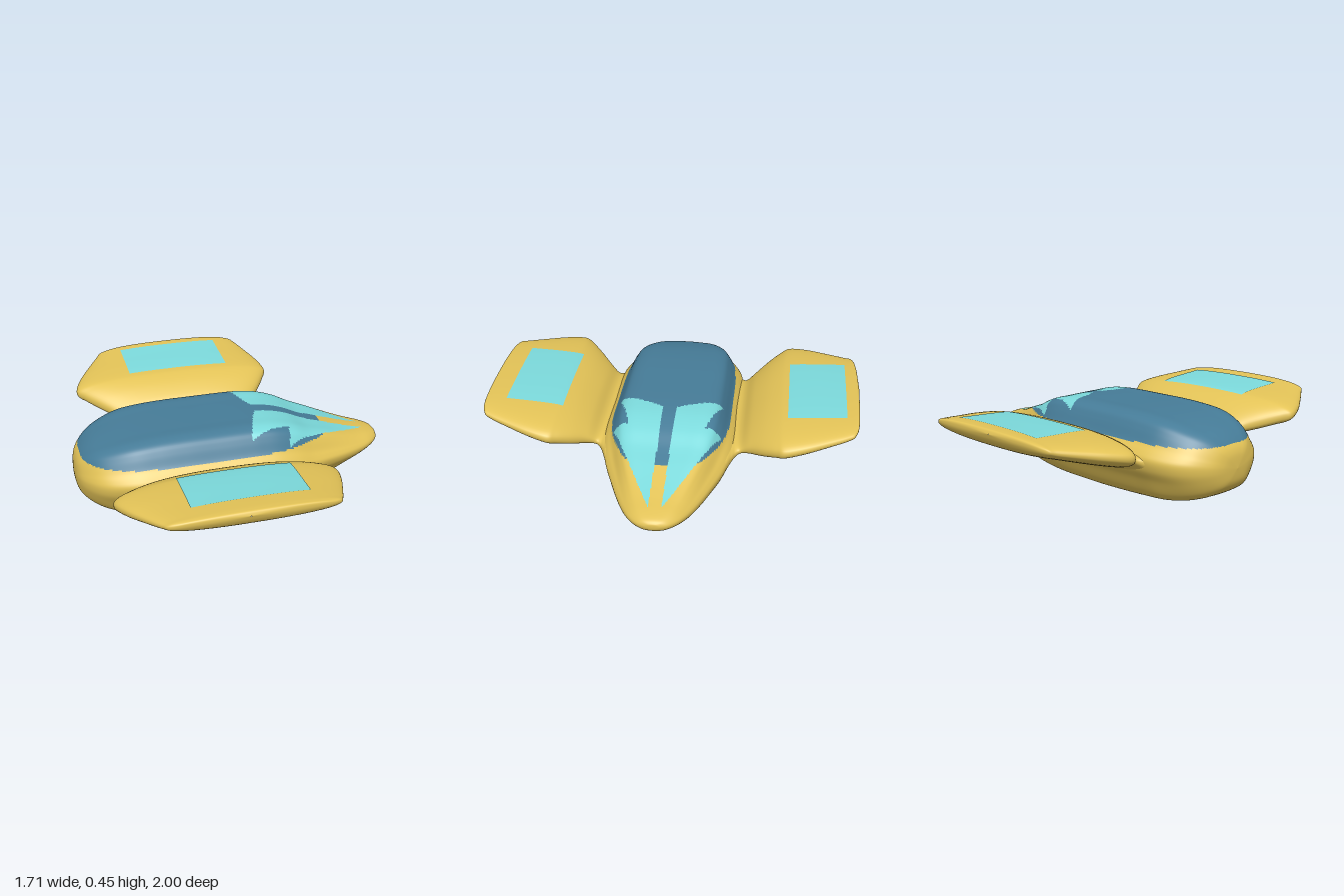
import * as THREE from 'three';

const mat = (name, color) => Object.assign(new THREE.MeshStandardMaterial({ color }), { name });

// Catmull-Rom through rows of numbers, t from 0 to 1
function sample(rows, t) {
  const f = Math.min(t, 1) * (rows.length - 1);
  const i = Math.min(Math.floor(f), rows.length - 2), u = f - i;
  const row = k => rows[Math.max(0, Math.min(rows.length - 1, k))];
  const [a, b, c, d] = [row(i - 1), row(i), row(i + 1), row(i + 2)];
  return b.map((_, k) => {
    const v0 = (c[k] - a[k]) / 2, v1 = (d[k] - b[k]) / 2, e = b[k] - c[k];
    return b[k] + u * (v0 + u * (-3 * e - 2 * v0 - v1 + u * (2 * e + v0 + v1)));
  });
}

// Skin closed rings of points; paint(centre) picks the material index of each quad
function loft(rings, paint = () => 0) {
  const n = rings[0].length, lists = [[], [], []];
  for (let i = 0; i < rings.length - 1; i++) {
    for (let j = 0; j < n; j++) {
      const k = (j + 1) % n;
      const a = i * n + j, b = a + n, c = (i + 1) * n + k, d = i * n + k;
      const mid = rings[i][j].clone().add(rings[i + 1][k]).multiplyScalar(0.5);
      lists[paint(mid, j)].push(a, b, d, b, c, d);
    }
  }
  const geo = new THREE.BufferGeometry().setFromPoints(rings.flat());
  geo.setIndex(lists.flat());
  let start = 0;
  lists.forEach((l, m) => {
    if (l.length) geo.addGroup(start, l.length, m);
    start += l.length;
  });
  geo.computeVertexNormals();
  return geo;
}

// Hull stations: x, half width, top, bottom
const HULL = [
  [-0.86, 0, 0.2, 0.2], [-0.85, 0.1, 0.275, 0.13], [-0.82, 0.18, 0.324, 0.085],
  [-0.76, 0.26, 0.369, 0.048], [-0.68, 0.315, 0.398, 0.024], [-0.57, 0.352, 0.422, 0.012],
  [-0.44, 0.362, 0.435, 0.006], [-0.3, 0.365, 0.44, 0.002], [-0.15, 0.365, 0.44, 0],
  [0, 0.365, 0.44, 0.003], [0.1, 0.363, 0.437, 0.005], [0.2, 0.355, 0.426, 0.009],
  [0.3, 0.336, 0.398, 0.016], [0.4, 0.305, 0.353, 0.026], [0.5, 0.266, 0.32, 0.046],
  [0.6, 0.225, 0.287, 0.072], [0.7, 0.179, 0.257, 0.101], [0.78, 0.133, 0.237, 0.132],
  [0.83, 0.085, 0.221, 0.153], [0.849, 0.042, 0.206, 0.171], [0.853, 0, 0.19, 0.19],
];

// Half cross-section of the hull: width and height fractions, bottom to top
const SECTION = [
  [0.25, 0], [0.46, 0], [0.6, 0.02], [0.72, 0.09], [0.86, 0.3], [0.96, 0.45],
  [0.985, 0.58], [0.93, 0.66], [0.86, 0.73], [0.77, 0.87], [0.7, 0.95], [0.56, 0.995], [0.3, 1],
];

// Windscreen pane in plan: x and |z|
const PANE = [
  [0.135, 0.033], [0.76, 0.033], [0.43, 0.2], [0.29, 0.268], [0.255, 0.285],
  [0.27, 0.2], [0.16, 0.235], [0.045, 0.28], [0.1, 0.1],
];

function inside(poly, x, y) {
  let hit = false;
  poly.forEach(([ax, ay], i) => {
    const [bx, by] = poly[(i + 1) % poly.length];
    if ((ay > y) !== (by > y) && x < ax + (bx - ax) * (y - ay) / (by - ay)) hit = !hit;
  });
  return hit;
}

function hullGeometry() {
  const outline = [...SECTION, ...SECTION.map(([w, t]) => [-w, t]).reverse()];
  const curve = new THREE.CatmullRomCurve3(outline.map(([w, t]) => new THREE.Vector3(w, t, 0)), true);
  const around = 200, along = 220;
  const profile = curve.getSpacedPoints(around).slice(0, around);
  const ovals = profile.map(p => new THREE.Vector3(p.x, 2 * p.y - 1, 0).normalize());
  const rings = [];
  for (let i = 0; i <= along; i++) {
    const [x, w, top, bottom] = sample(HULL, i / along);
    // The section turns oval towards nose and tail
    const k = 0.85 * THREE.MathUtils.smoothstep(x, 0.4, 0.85) + 0.5 * THREE.MathUtils.smoothstep(-x, 0.55, 0.86);
    rings.push(profile.map((p, j) => {
      const u = THREE.MathUtils.lerp(p.x, ovals[j].x, k);
      const v = THREE.MathUtils.lerp(p.y, (ovals[j].y + 1) / 2, k);
      return new THREE.Vector3(x, bottom + v * (top - bottom), u * w);
    }));
  }
  return loft(rings, (c, j) => {
    if (profile[j].y > 0.6 && inside(PANE, c.x, Math.abs(c.z))) return 2;
    return c.y > 0.318 ? 1 : 0;
  });
}

// Wing stations: distance from centre, rear x, front x, top, bottom; the root flares into the hull
const WING = [
  [0.25, -0.72, 0.44, 0.3, 0.08], [0.31, -0.64, 0.36, 0.298, 0.135],
  [0.34, -0.575, 0.29, 0.289, 0.168], [0.36, -0.54, 0.25, 0.288, 0.184],
  [0.385, -0.525, 0.235, 0.303, 0.195], [0.43, -0.555, 0.262, 0.348, 0.203],
  [0.5, -0.635, 0.32, 0.392, 0.22], [0.57, -0.71, 0.368, 0.42, 0.245],
  [0.62, -0.745, 0.389, 0.429, 0.26], [0.72, -0.71, 0.37, 0.437, 0.288],
  [0.83, -0.645, 0.332, 0.443, 0.32], [0.93, -0.58, 0.293, 0.449, 0.35],
  [0.97, -0.545, 0.262, 0.45, 0.372], [0.99, -0.43, 0.16, 0.447, 0.4],
  [1, -0.18, -0.175, 0.43, 0.428],
];
const POWER = 2.4;

function wingGeometry(side) {
  const rings = [], along = 110, around = 72;
  const bend = v => Math.sign(v) * Math.abs(v) ** (2 / POWER);
  for (let i = 0; i <= along; i++) {
    const [z, x0, x1, top, bottom] = sample(WING, i / along);
    rings.push(Array.from({ length: around }, (_, j) => {
      const a = j / around * Math.PI * 2;
      return new THREE.Vector3(
        (x0 + x1) / 2 - side * bend(Math.cos(a)) * (x1 - x0) / 2,
        (top + bottom) / 2 + bend(Math.sin(a)) * (top - bottom) / 2,
        side * z);
    }));
  }
  return loft(rings);
}

// Height of the wing's upper skin
function wingTop(x, z) {
  let lo = 0, hi = 1;
  for (let k = 0; k < 30; k++) {
    const m = (lo + hi) / 2;
    if (sample(WING, m)[0] < z) lo = m; else hi = m;
  }
  const [, x0, x1, top, bottom] = sample(WING, lo);
  const d = Math.abs((2 * x - x0 - x1) / (x1 - x0));
  return (top + bottom) / 2 + (1 - d ** POWER) ** (1 / POWER) * (top - bottom) / 2;
}

// Thin panel draped over the wing
function panelGeometry(zMid) {
  const geo = new THREE.PlaneGeometry(0.58, 0.305, 24, 24).rotateX(-Math.PI / 2).translate(-0.14, 0, zMid);
  const p = geo.attributes.position;
  for (let i = 0; i < p.count; i++) p.setY(i, wingTop(p.getX(i), Math.abs(p.getZ(i))) + 0.003);
  geo.computeVertexNormals();
  return geo;
}

export function createModel() {
  const yellow = mat('yellow hull paint', 0xe3c357);
  const blue = mat('dark blue canopy', 0x467c98);
  const cyan = mat('pale cyan glass', 0x7cdadc);
  const model = new THREE.Group();
  model.name = 'spacecraft';
  const add = (name, geo, material) => {
    const mesh = new THREE.Mesh(geo, material);
    mesh.name = name;
    model.add(mesh);
  };

  // Hull with canopy and windscreen panes
  add('hull', hullGeometry(), [yellow, blue, cyan]);

  // Wings and their panels
  for (const [side, name, zMid] of [[1, 'left', 0.725], [-1, 'right', -0.773]]) {
    add(name + 'Wing', wingGeometry(side), yellow);
    add(name + 'WingPanel', panelGeometry(zMid), cyan);
  }
  return model;
}
